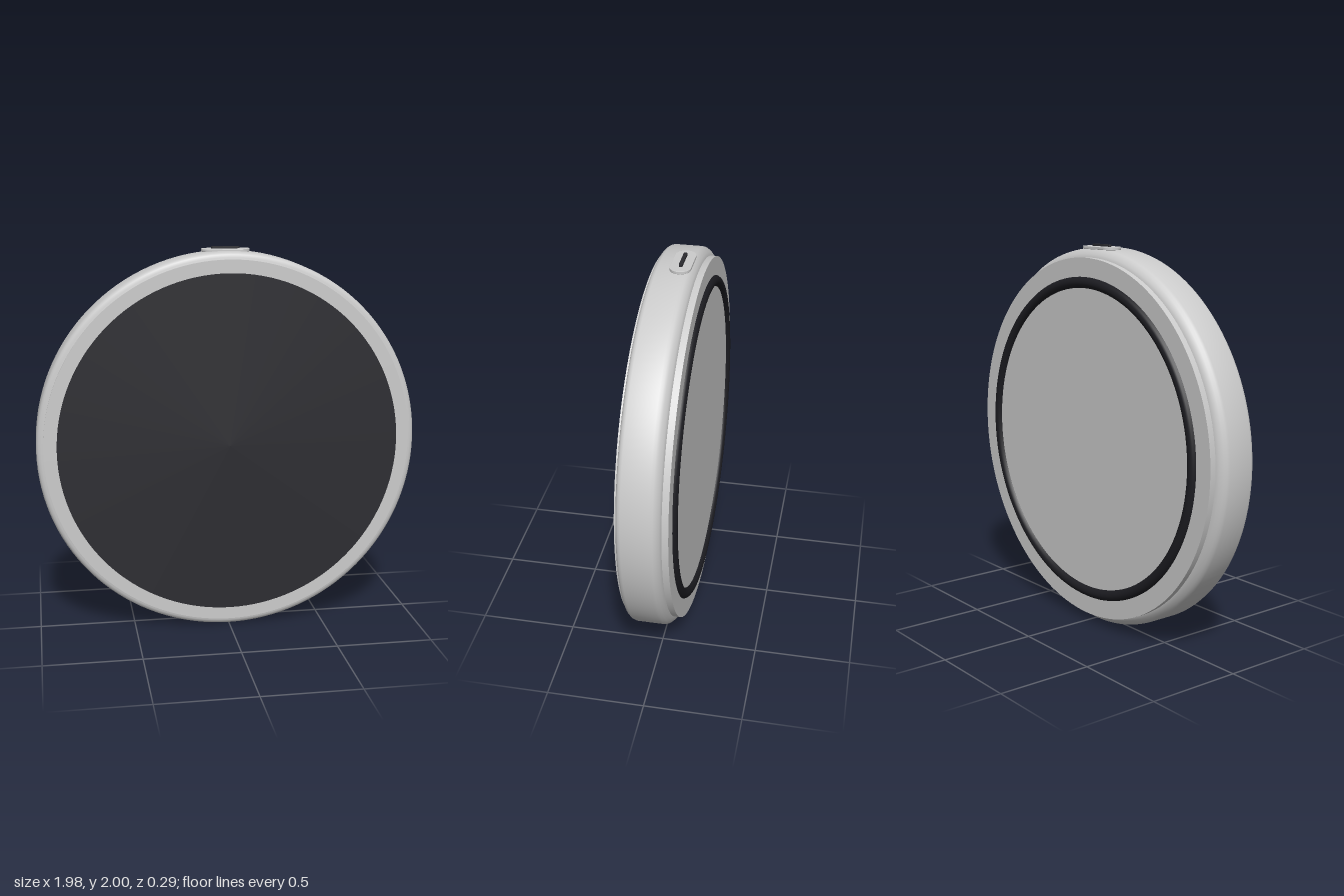
import * as THREE from 'three';
import { toCreasedNormals } from 'three/addons/utils/BufferGeometryUtils.js';

const grey = new THREE.MeshStandardMaterial({ color: 0xcccccc });
const glass = new THREE.MeshStandardMaterial({ color: 0x2b2b30 });
const rubber = new THREE.MeshStandardMaterial({ color: 0x1c1c21 });
const RADIUS = 0.99;

export function createModel() {
  const model = new THREE.Group();

  function add(name, geometry, material) {
    const mesh = new THREE.Mesh(geometry, material);
    mesh.name = name;
    model.add(mesh);
    return mesh;
  }

  // Round part turned about the z axis; profile is [radius, z] from back to front
  function turned(name, profile, material) {
    const points = profile.map(([r, z]) => new THREE.Vector2(r, z));
    const geometry = toCreasedNormals(new THREE.LatheGeometry(points, 128), 0.5);
    geometry.rotateX(Math.PI / 2);
    add(name, geometry, material).position.y = RADIUS;
  }

  // Upright pill standing on y, centred on x
  function pill(name, halfLength, r, y, height, bevel, material) {
    const s = halfLength - r;
    const shape = new THREE.Shape();
    shape.absarc(s, 0, r, -Math.PI / 2, Math.PI / 2);
    shape.absarc(-s, 0, r, Math.PI / 2, Math.PI * 1.5);
    const geometry = new THREE.ExtrudeGeometry(shape, {
      depth: height - 2 * bevel, curveSegments: 16, bevelEnabled: bevel > 0,
      bevelThickness: bevel, bevelSize: bevel, bevelOffset: -bevel, bevelSegments: 2,
    });
    geometry.rotateX(-Math.PI / 2);
    add(name, geometry, material).position.set(0, y + bevel, -0.015);
  }

  // Main housing with a chamfered back and a softly rounded front edge
  turned('housing', [
    [0, -0.09], [0.945, -0.09], [0.962, -0.082], [0.978, -0.068], [0.987, -0.055],
    [RADIUS, -0.04], [RADIUS, 0.095], [0.986, 0.107], [0.978, 0.116], [0.965, 0.121], [0, 0.121],
  ], grey);

  // Front bezel and dark screen
  turned('bezel', [[0, 0.115], [0.955, 0.115], [0.955, 0.131], [0, 0.131]], grey);
  turned('screen', [[0, 0.125], [0.887, 0.125], [0.887, 0.142], [0, 0.142]], glass);

  // Back plate and its rubber foot ring
  turned('backPlate', [[0, -0.122], [0.945, -0.122], [0.945, -0.085], [0, -0.085]], grey);
  add('footRing', new THREE.TorusGeometry(0.82, 0.03, 16, 128), rubber)
    .position.set(0, RADIUS, -0.113);

  // Button on the rim with a raised dark bar
  pill('button', 0.125, 0.052, 1.974, 0.015, 0.002, grey);
  pill('buttonBar', 0.073, 0.009, 1.982, 0.018, 0, glass);

  return model;
}
